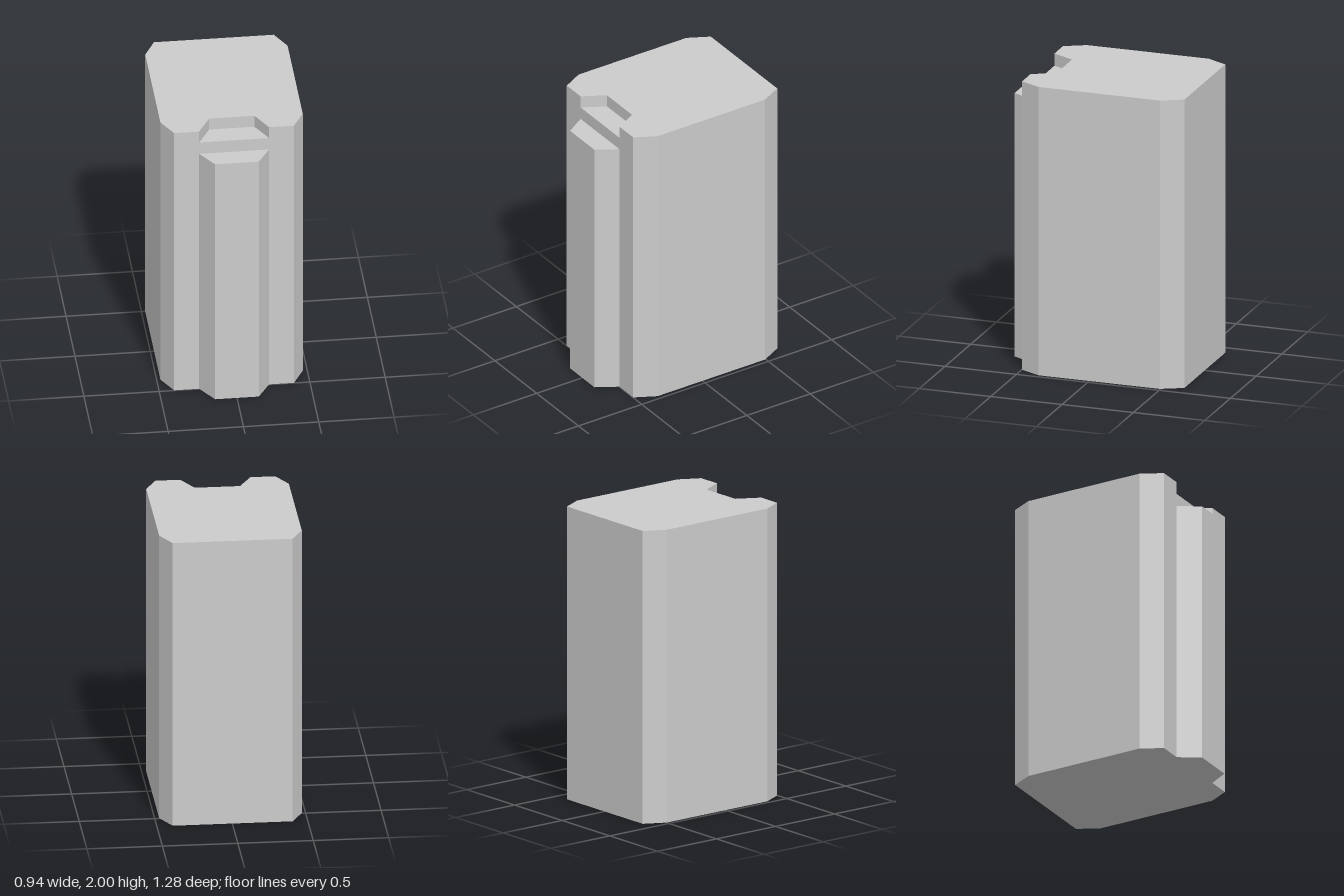
import * as THREE from 'three';
import { mergeGeometries } from 'three/addons/utils/BufferGeometryUtils.js';

// Plan points are [x, z]
const BACK_AND_SIDES = [
  [-0.475, 0.355], [-0.475, -0.495], [-0.4, -0.64],
  [0.395, -0.64], [0.47, -0.495], [0.47, 0.355],
];
const FRONT_LEFT = [0.395, 0.498], FRONT_RIGHT = [-0.4, 0.498];
const RIDGE = [[0.23, 0.498], [0.145, 0.64], [-0.145, 0.64], [-0.235, 0.498]];
const NOTCH = [[0.23, 0.498], [0.15, 0.345], [-0.15, 0.345], [-0.235, 0.498]];
const RIDGE_TOP = 1.827, NOTCH_FLOOR = 1.915, TOP = 2;

// Closed plan outline whose front edge follows the given detour
const outline = (detour = []) => [...BACK_AND_SIDES, FRONT_LEFT, ...detour, FRONT_RIGHT];

// Flat-shaded vertical walls around an outline
function walls(points, y0, y1) {
  const panels = points.map(([ax, az], i) => {
    const [bx, bz] = points[(i + 1) % points.length];
    const panel = new THREE.PlaneGeometry(Math.hypot(bx - ax, bz - az), y1 - y0);
    panel.rotateY(Math.atan2(bz - az, -(bx - ax)));
    panel.translate((ax + bx) / 2, (y0 + y1) / 2, (az + bz) / 2);
    return panel;
  });
  return mergeGeometries(panels);
}

// Horizontal face filling an outline, facing up or down
function cap(points, y, up = true) {
  const s = up ? -1 : 1;
  const shape = new THREE.Shape(points.map(([x, z]) => new THREE.Vector2(x, s * z)));
  return new THREE.ShapeGeometry(shape).rotateX(s * Math.PI / 2).translate(0, y, 0);
}

export function createModel() {
  const model = new THREE.Group();
  model.name = 'chamferedBlock';
  const material = new THREE.MeshStandardMaterial({ color: 0xcccccc, flatShading: true });
  const add = (name, ...geometries) => {
    const mesh = new THREE.Mesh(mergeGeometries(geometries), material);
    mesh.name = name;
    model.add(mesh);
  };

  // Main block with the front ridge
  add('ridgedBody',
    walls(outline(RIDGE), 0, RIDGE_TOP),
    cap(outline(RIDGE), 0, false),
    cap(RIDGE, RIDGE_TOP));

  // Plain band between ridge and notch
  add('plainBand', walls(outline(), RIDGE_TOP, NOTCH_FLOOR), cap(NOTCH, NOTCH_FLOOR));

  // Top layer with the notch cut into its front
  add('notchedTop', walls(outline(NOTCH), NOTCH_FLOOR, TOP), cap(outline(NOTCH), TOP));

  return model;
}
